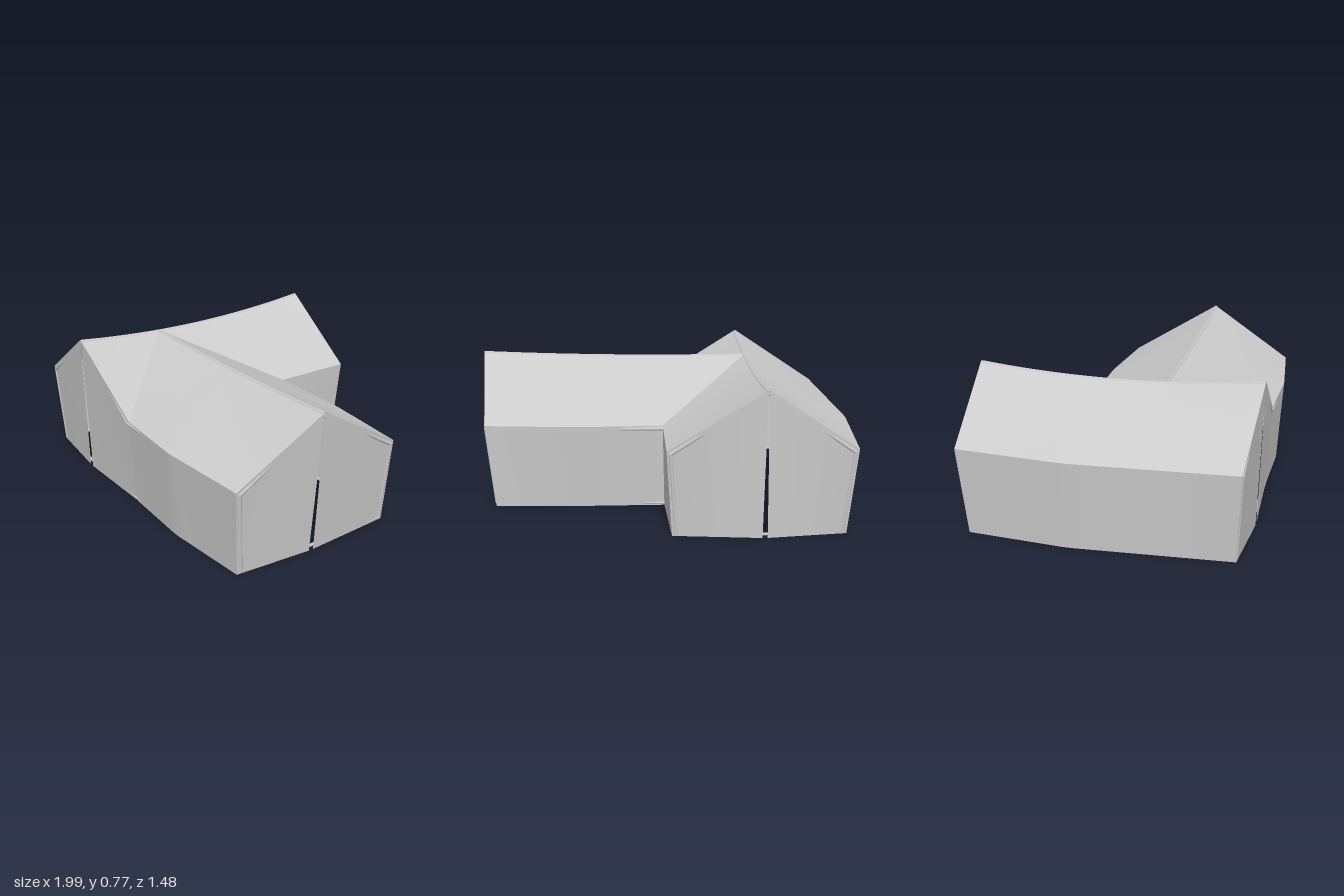
import * as THREE from 'three';
import { toCreasedNormals } from 'three/addons/utils/BufferGeometryUtils.js';

const V = (x, y, z) => new THREE.Vector3(x, y, z);
const EAVE = 0.46;
const material = new THREE.MeshStandardMaterial({ color: 0xcccccc, side: THREE.DoubleSide });

// point at fraction t along a polyline, by length
function along(points, t) {
  const lengths = points.slice(1).map((p, i) => p.distanceTo(points[i]));
  let d = t * lengths.reduce((a, b) => a + b, 0);
  for (let i = 0; i < lengths.length; i++) {
    if (d <= lengths[i] || i === lengths.length - 1) {
      const f = lengths[i] > 0 ? Math.min(d / lengths[i], 1) : 0;
      return points[i].clone().lerp(points[i + 1], f);
    }
    d -= lengths[i];
  }
}

// cloth panel ruled between an upper and a lower line, both left to right from outside
function panel(name, top, bottom, cols = 24, rows = 4) {
  const pos = [], index = [];
  for (let i = 0; i <= cols; i++) {
    const a = along(top, i / cols), b = along(bottom, i / cols);
    for (let j = 0; j <= rows; j++) pos.push(...a.clone().lerp(b, j / rows).toArray());
  }
  for (let i = 0; i < cols; i++) for (let j = 0; j < rows; j++) {
    const a = i * (rows + 1) + j, b = a + rows + 1;
    index.push(a, a + 1, b, b, a + 1, b + 1);
  }
  const g = new THREE.BufferGeometry();
  g.setAttribute('position', new THREE.Float32BufferAttribute(pos, 3));
  g.setIndex(index);
  const mesh = new THREE.Mesh(toCreasedNormals(g, 0.6), material);
  mesh.name = name;
  return mesh;
}

function pole(name, a, b, r = 0.011) {
  const d = b.clone().sub(a);
  const mesh = new THREE.Mesh(new THREE.CylinderGeometry(r, r, d.length(), 8), material);
  mesh.name = name;
  mesh.position.copy(a).add(b).multiplyScalar(0.5);
  mesh.quaternion.setFromUnitVectors(V(0, 1, 0), d.normalize());
  return mesh;
}

// moves a point towards the middle line of its wing, so the frame sits inside the cloth
function inset(p, amount = 0.02) {
  const c = THREE.MathUtils.clamp;
  const q = p.x <= 0.001 ? V(-0.49, p.y, c(p.z, -0.6, 0.6)) : V(c(p.x, -0.4, 0.85), p.y, 0.24);
  const out = p.clone().add(q.sub(p).setLength(amount));
  out.y += p.y < 0.05 ? 0.012 : -0.016;
  return out;
}

export function createModel() {
  const tent = new THREE.Group();
  tent.name = 'cornerTent';
  const cloth = new THREE.Group(), frame = new THREE.Group();
  cloth.name = 'cloth';
  frame.name = 'frame';
  tent.add(cloth, frame);

  // sagging ridges: the long one along z, the branch along x
  const ridgeZ = (from, to) => Array.from({ length: 13 }, (_, i) => {
    const z = from + (to - from) * i / 12;
    return V(-0.49, 0.722 + 0.045 * (z / 0.735) ** 2, z);
  });
  const junction = ridgeZ(0.24, 0.24)[0];
  const ridgeX = Array.from({ length: 13 }, (_, i) => {
    const t = i / 12;
    return V(-0.49 + 1.48 * t, junction.y - 0.022 * t + 0.05 * t * t, 0.24);
  });
  const frontPeak = ridgeZ(0.73, 0.73)[0], backPeak = ridgeZ(-0.74, -0.74)[0], sidePeak = ridgeX[12];

  // eave corners with their ground points, [eave x, eave z, ground x, ground z]
  const corner = (ex, ez, gx, gz) => ({ e: V(ex, EAVE, ez), g: V(gx, 0, gz) });
  const frontRight = corner(-0.955, 0.69, -0.915, 0.67);
  const valley = corner(0, 0.72, 0, 0.70);
  const frontBend = corner(0.43, 0.74, 0.43, 0.715);
  const frontLeft = corner(0.94, 0.70, 0.90, 0.67);
  const sideBack = corner(0.94, -0.25, 0.90, -0.235);
  const backBend = corner(0.45, -0.29, 0.45, -0.25);
  const inner = corner(0, -0.28, -0.01, -0.25);
  const backLeft = corner(0, -0.71, -0.03, -0.675);
  const backRight = corner(-0.95, -0.71, -0.915, -0.675);
  const rightBend = corner(-1, -0.15, -0.96, -0.15);
  const frontFoot = V(-0.495, 0, 0.71), backFoot = V(-0.495, 0, -0.72), sideFoot = V(0.93, 0, 0.25);
  const eaves = (...c) => c.map(k => k.e), feet = (...c) => c.map(k => k.g);

  // roof slopes
  cloth.add(
    panel('roofRight', ridgeZ(-0.74, 0.73), eaves(backRight, rightBend, frontRight)),
    panel('roofInner', ridgeZ(0.24, -0.74), eaves(inner, backLeft)),
    panel('roofFrontCorner', ridgeZ(0.73, 0.24), [valley.e, valley.e.clone().add(V(0, 0, -0.001))], 12),
    panel('branchRoofFront', ridgeX, eaves(valley, frontBend, frontLeft)),
    panel('branchRoofBack', [...ridgeX].reverse(), eaves(sideBack, backBend, inner)),
  );

  // long walls
  const walls = {
    rightWall: [backRight, rightBend, frontRight],
    frontWall: [valley, frontBend, frontLeft],
    backWall: [sideBack, backBend, inner],
    innerWall: [inner, backLeft],
  };
  for (const [name, run] of Object.entries(walls)) {
    cloth.add(panel(name, eaves(...run), feet(...run)));
    for (let i = 0; i + 1 < run.length; i++) {
      frame.add(pole('eavePole', inset(run[i].e), inset(run[i + 1].e)));
      frame.add(pole('groundRail', inset(run[i].g), inset(run[i + 1].g), 0.008));
    }
  }

  // gables, each two flaps parted by a slit that widens to the ground
  const gables = [
    ['frontGable', frontRight, frontPeak, frontFoot, valley],
    ['sideGable', frontLeft, sidePeak, sideFoot, sideBack],
    ['backGable', backLeft, backPeak, backFoot, backRight],
  ];
  for (const [name, a, peak, foot, b] of gables) {
    const across = b.g.clone().sub(a.g).normalize();
    const edge = (p, d) => p.clone().addScaledVector(across, d);
    cloth.add(
      panel(name + 'FlapA', [a.e, edge(peak, -0.002)], [a.g, edge(foot, -0.013)], 8, 8),
      panel(name + 'FlapB', [edge(peak, 0.002), b.e], [edge(foot, 0.013), b.g], 8, 8),
    );
    for (const k of [a, b]) {
      frame.add(pole('gablePole', inset(k.e), inset(peak)));
      frame.add(pole('gableRail', inset(k.g), inset(foot), 0.008));
    }
  }

  // upright posts, and rafters at the bends
  for (const k of [frontRight, frontBend, frontLeft, sideBack, backBend, inner, backLeft, backRight, rightBend])
    frame.add(pole('post', inset(k.e), inset(k.g)));
  const low = p => p.clone().add(V(0, -0.018, 0));
  const ridgeMid = low(along(ridgeX, 0.63)), ridgeBack = low(ridgeZ(-0.15, -0.15)[0]);
  frame.add(
    pole('rafter', inset(frontBend.e), ridgeMid),
    pole('rafter', inset(backBend.e), ridgeMid),
    pole('rafter', inset(rightBend.e), ridgeBack),
    pole('valleyRafter', inset(inner.e), low(junction)),
    pole('valleyRafter', inset(valley.e), low(junction)),
  );

  // ridge poles follow the sag
  for (const [name, line] of [['ridgePole', ridgeZ(-0.735, 0.725)], ['branchRidgePole', ridgeX]]) {
    const curve = new THREE.CatmullRomCurve3(line.map(p => p.clone().add(V(0, -0.01, 0))));
    const mesh = new THREE.Mesh(new THREE.TubeGeometry(curve, 24, 0.012, 8), material);
    mesh.name = name;
    frame.add(mesh);
  }
  return tent;
}
